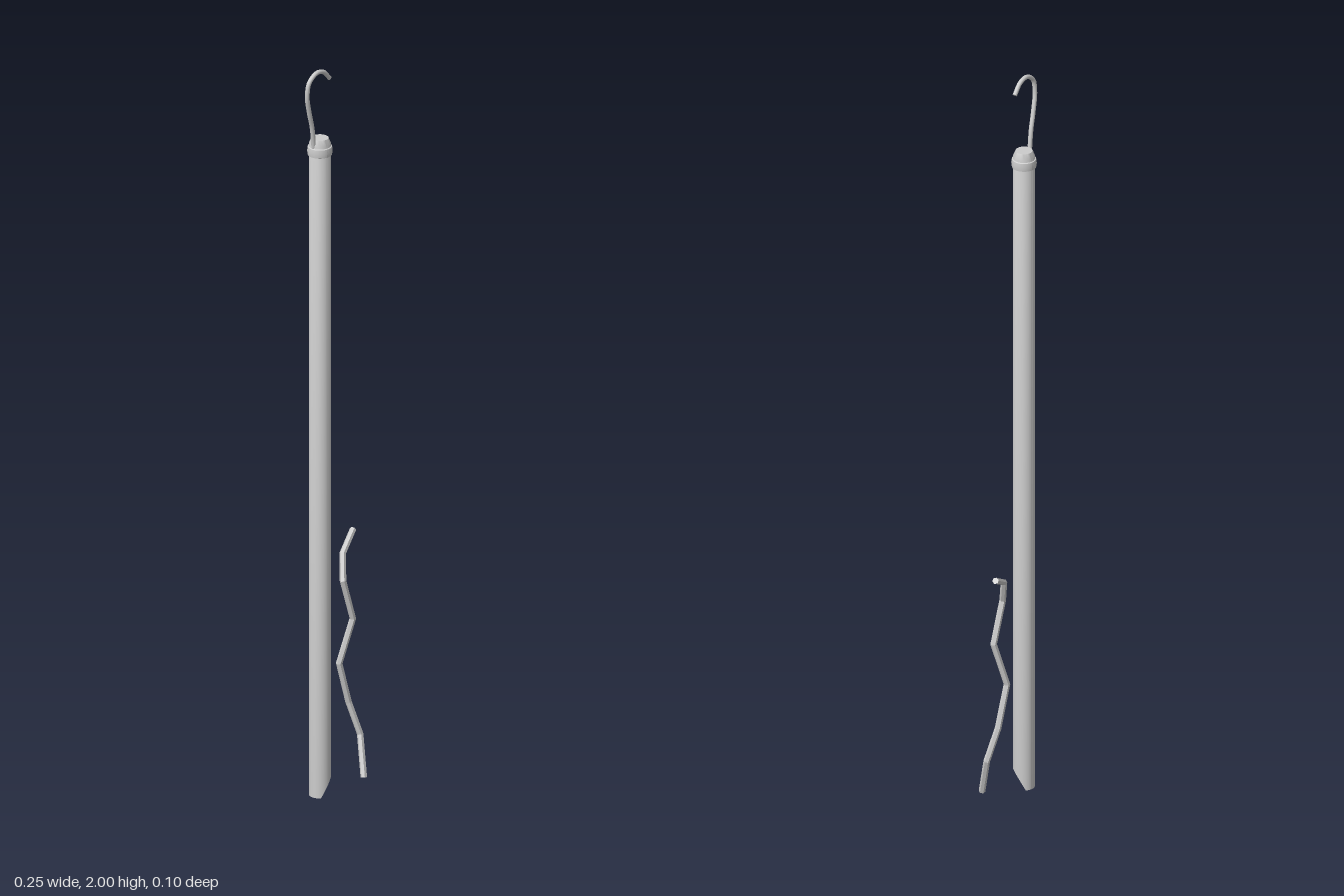
import * as THREE from 'three';
import { toCreasedNormals } from 'three/addons/utils/BufferGeometryUtils.js';

const AXIS_X = -0.0545, AXIS_Z = -0.006;

// Straight segments with mitred joints, sampled once per corner
class Polyline extends THREE.Curve {
  constructor(points) {
    super();
    this.points = points;
  }
  index(u) {
    return Math.round(u * (this.points.length - 1));
  }
  getPointAt(u, target = new THREE.Vector3()) {
    return target.copy(this.points[this.index(u)]);
  }
  getTangentAt(u, target = new THREE.Vector3()) {
    const p = this.points, i = this.index(u);
    target.set(0, 0, 0);
    if (i > 0) target.add(p[i].clone().sub(p[i - 1]).normalize());
    if (i < p.length - 1) target.add(p[i + 1].clone().sub(p[i]).normalize());
    return target.normalize();
  }
}

const toVectors = (list) => list.map((p) => new THREE.Vector3(...p));

// Tube with closed ends along a curve
function rod(name, curve, segments, radius, sides, material) {
  const group = new THREE.Group();
  group.name = name;
  const body = new THREE.Mesh(new THREE.TubeGeometry(curve, segments, radius, sides), material);
  body.name = name + 'Body';
  group.add(body);
  for (const u of [0, 1]) {
    const cap = new THREE.Mesh(new THREE.CircleGeometry(radius, sides), material);
    cap.name = name + 'End';
    const out = curve.getTangentAt(u).multiplyScalar(u ? 1 : -1);
    cap.position.copy(curve.getPointAt(u));
    cap.quaternion.setFromUnitVectors(new THREE.Vector3(0, 0, 1), out);
    group.add(cap);
  }
  return group;
}

function lathe(name, profile, material, edit) {
  const geometry = new THREE.LatheGeometry(profile.map((p) => new THREE.Vector2(...p)), 24);
  if (edit) edit(geometry.attributes.position);
  const mesh = new THREE.Mesh(toCreasedNormals(geometry, 0.5), material);
  mesh.name = name;
  mesh.position.set(AXIS_X, 0, AXIS_Z);
  return mesh;
}

export function createModel() {
  const model = new THREE.Group();
  model.name = 'hookedPole';
  const smooth = new THREE.MeshStandardMaterial({ color: 0xcccccc });
  const faceted = new THREE.MeshStandardMaterial({ color: 0xcccccc, flatShading: true });

  // Pole with a bevelled top and a slanted cut on the front left of its foot
  model.add(lathe('pole',
    [[0, 0], [0.028, 0], [0.028, 1.788], [0.022, 1.803], [0, 1.803]], smooth, (pos) => {
      for (let i = 0; i < pos.count; i++) {
        if (pos.getY(i) > 0.01) continue;
        const toCut = (pos.getX(i) + pos.getZ(i)) * Math.SQRT1_2;
        pos.setY(i, Math.max(0, toCut * 1.8));
      }
    }));

  // Collar band near the top
  model.add(lathe('collar',
    [[0.027, 1.756], [0.031, 1.758], [0.0325, 1.769], [0.031, 1.780], [0.027, 1.782]], smooth));

  // Bent wire hook
  const hook = new THREE.CatmullRomCurve3(toVectors([
    [-0.077, 1.775, -0.007], [-0.082, 1.805, -0.005], [-0.091, 1.846, -0.002],
    [-0.106, 1.888, 0.002], [-0.119, 1.938, 0.006], [-0.114, 1.975, 0.008],
    [-0.086, 1.994, 0.009], [-0.058, 1.988, 0.009], [-0.034, 1.964, 0.008],
  ]));
  model.add(rod('hook', hook, 40, 0.006, 8, smooth));

  // Crooked loose stick beside the pole
  const stick = new Polyline(toVectors([
    [0.064, 0.02, 0.040], [0.087, 0.124, 0.009], [0.064, 0.214, -0.010], [0.034, 0.328, -0.016],
    [0.064, 0.447, 0.004], [0.030, 0.560, 0.000], [0.050, 0.624, -0.018], [0.118, 0.663, -0.040],
  ]));
  model.add(rod('stick', stick, stick.points.length - 1, 0.0085, 6, faceted));

  return model;
}
